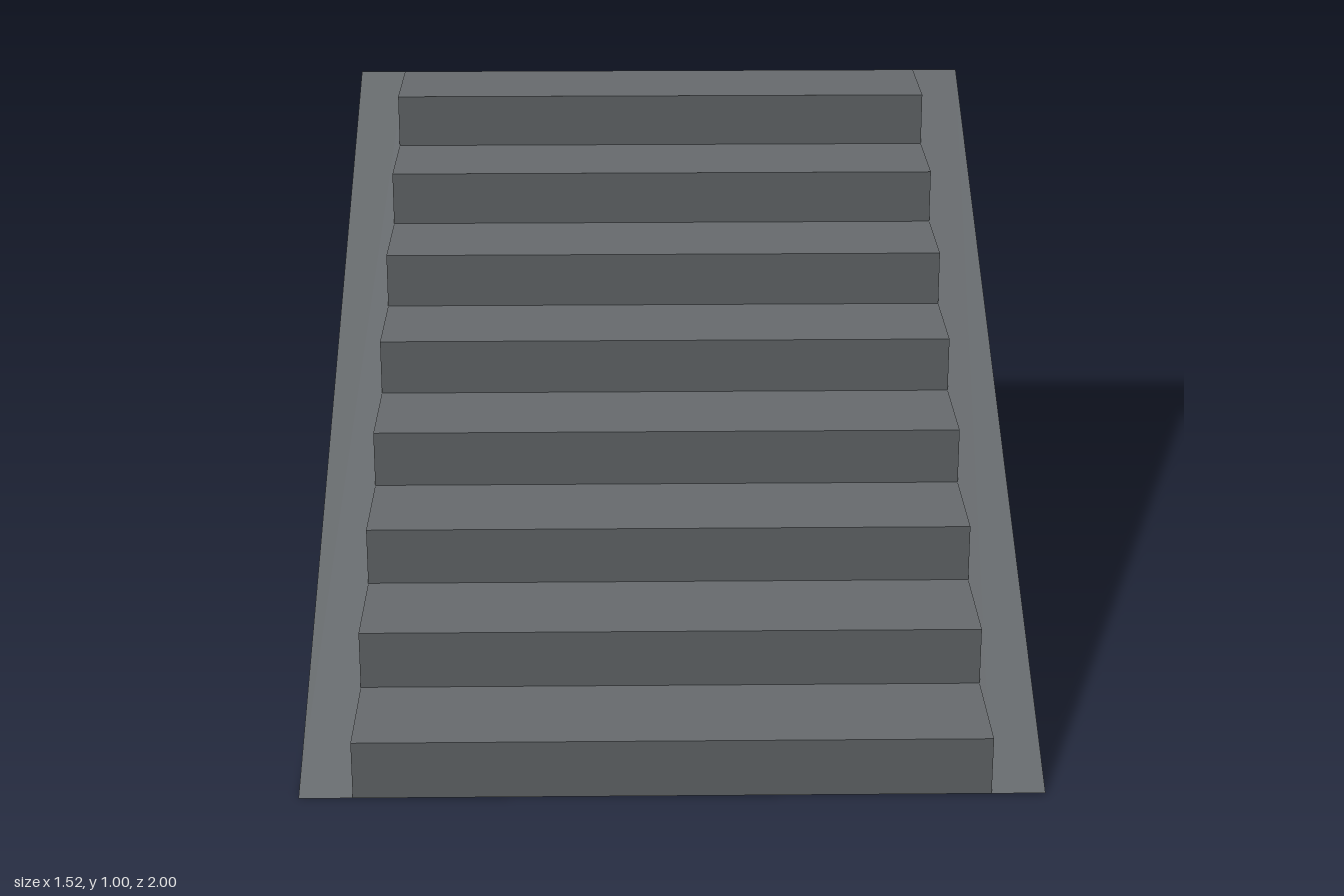
import * as THREE from 'three';

const STEPS = 8, RISE = 0.125, RUN = 0.25;
const INNER = 0.65, OUTER = 0.76;

const stone = new THREE.MeshStandardMaterial({ color: 0x666a6d });
stone.name = 'slate grey';

// Extrudes a side profile of [z, y] points across the span x0..x1
function slab(name, points, x0, x1) {
  const shape = new THREE.Shape(points.map(([z, y]) => new THREE.Vector2(z, y)));
  const geometry = new THREE.ExtrudeGeometry(shape, { depth: x1 - x0, bevelEnabled: false });
  geometry.rotateY(-Math.PI / 2).translate(x1, 0, 0);
  const mesh = new THREE.Mesh(geometry, stone);
  mesh.name = name;
  return mesh;
}

export function createModel() {
  const group = new THREE.Group();
  group.name = 'staircase';

  // Solid flight of steps, climbing towards the back
  const profile = [[-1, 0], [1, 0]];
  for (let i = 0; i < STEPS; i++) {
    const y = (i + 1) * RISE;
    profile.push([1 - i * RUN, y], [1 - (i + 1) * RUN, y]);
  }
  group.add(slab('steps', profile, -INNER, INNER));

  // Sloping side walls
  const ramp = [[-1, 0], [1, 0], [-1, STEPS * RISE]];
  group.add(slab('leftSideWall', ramp, INNER, OUTER));
  group.add(slab('rightSideWall', ramp, -OUTER, -INNER));

  return group;
}
